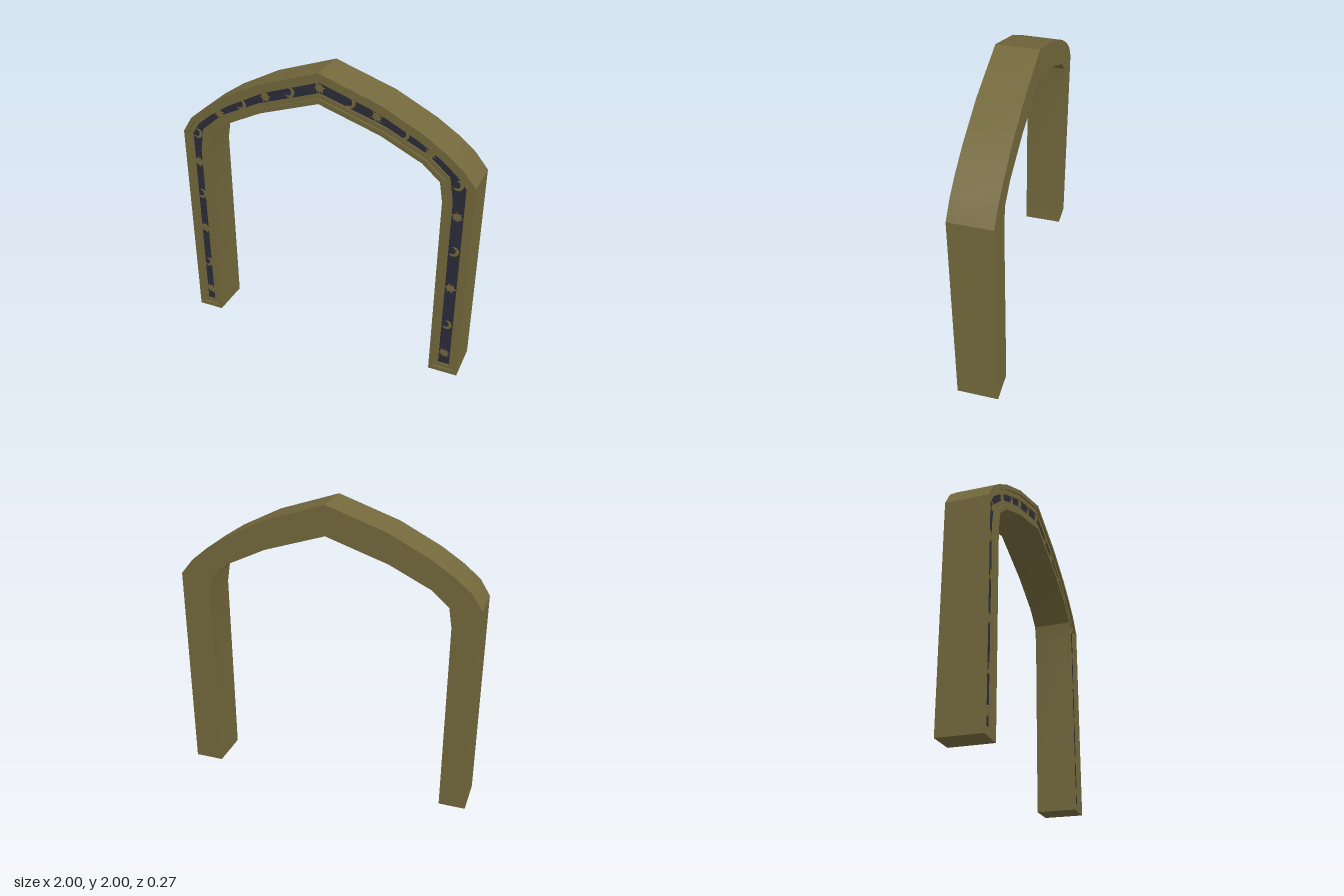
import * as THREE from 'three';
import { toCreasedNormals } from 'three/addons/utils/BufferGeometryUtils.js';

const HALF_DEPTH = 0.137, STEP = 0.012, BAND = 0.03, AXIS = -0.01;

// Half profiles of the arch, measured from its axis, springing to apex
const INNER = [[0.812, 1.31], [0.79, 1.44], [0.674, 1.54], [0.404, 1.67], [0, 1.803]];
const OUTER = [[0.925, 1.543], [0.815, 1.633], [0.67, 1.727], [0.402, 1.863], [0, 2]];

// Counter-clockwise outline of the whole arch
function archOutline() {
  const left = ([x, y]) => [AXIS - x, y];
  const right = ([x, y]) => [AXIS + x, y];
  return [
    [-1, 0], [AXIS - 0.812, 0], ...INNER.map(left),
    ...INNER.slice(0, -1).reverse().map(right), [AXIS + 0.812, 0],
    [1, 0], [1, 1.44], ...OUTER.map(right),
    ...OUTER.slice(0, -1).reverse().map(left), [-1, 1.44],
  ].map(([x, y]) => new THREE.Vector2(x, y));
}

// Mitred inset of a closed outline
function inset(points, d) {
  const n = points.length;
  return points.map((p, i) => {
    const a = p.clone().sub(points[(i + n - 1) % n]).normalize();
    const b = points[(i + 1) % n].clone().sub(p).normalize();
    const na = new THREE.Vector2(-a.y, a.x), nb = new THREE.Vector2(-b.y, b.x);
    const m = na.clone().add(nb);
    return p.clone().addScaledVector(m, d / (1 + na.dot(nb)));
  });
}

function slab(shape, z0, z1) {
  const geometry = new THREE.ExtrudeGeometry(shape, { depth: z1 - z0, bevelEnabled: false });
  geometry.translate(0, 0, z0);
  return toCreasedNormals(geometry, 0.5);
}

// Sunburst with alternating long and short rays
function starShape() {
  const points = [];
  for (let i = 0; i < 24; i++) {
    const r = i % 2 ? 0.019 : i % 4 ? 0.031 : 0.039;
    const a = (i / 24) * Math.PI * 2 + 0.1;
    points.push(new THREE.Vector2(r * Math.cos(a), r * Math.sin(a)));
  }
  return new THREE.Shape(points);
}

// Crescent bulging to the right, horns to the left
function moonShape() {
  const points = [], R = 0.033, horn = 2.25;
  const hx = R * Math.cos(horn), hy = R * Math.sin(horn);
  const cx = -0.014, r = Math.hypot(hx - cx, hy), end = Math.atan2(hy, hx - cx);
  for (let i = 0; i <= 14; i++) {
    const a = -horn + (2 * horn * i) / 14;
    points.push(new THREE.Vector2(R * Math.cos(a), R * Math.sin(a)));
  }
  for (let i = 1; i < 12; i++) {
    const a = end - (2 * end * i) / 12;
    points.push(new THREE.Vector2(cx + r * Math.cos(a), r * Math.sin(a)));
  }
  return new THREE.Shape(points);
}

export function createModel() {
  const group = new THREE.Group();
  const gold = new THREE.MeshStandardMaterial({ color: 0x73683c });
  gold.name = 'antique gold';
  const navy = new THREE.MeshStandardMaterial({ color: 0x2c2c39 });
  navy.name = 'dark navy';

  const add = (name, geometry, material) => {
    const mesh = new THREE.Mesh(geometry, material);
    mesh.name = name;
    group.add(mesh);
    return mesh;
  };

  const outline = archOutline();
  const floor = HALF_DEPTH - 2 * STEP;
  add('archBody', slab(new THREE.Shape(outline), -HALF_DEPTH, floor), gold);

  // Two stepped mouldings around the recessed panel
  ['outerMoulding', 'innerMoulding'].forEach((name, i) => {
    const ring = new THREE.Shape(inset(outline, i * BAND));
    ring.holes.push(new THREE.Path(inset(outline, (i + 1) * BAND)));
    add(name, slab(ring, floor, HALF_DEPTH - i * STEP), gold);
  });

  const panelTop = floor + 0.003;
  add('panel', slab(new THREE.Shape(inset(outline, 2 * BAND)), floor, panelTop), navy);

  // Stars and moons alternate along the panel
  const star = slab(starShape(), panelTop, panelTop + 0.006);
  const moon = slab(moonShape(), panelTop, panelTop + 0.006);
  const ornaments = [
    [0.902, 0.15], [0.902, 0.39], [0.902, 0.685], [0.902, 0.965], [0.902, 1.215],
    [0.892, 1.43], [0.715, 1.605], [0.547, 1.695], [0.372, 1.78], [0.202, 1.837],
  ];
  for (const side of [-1, 1]) {
    ornaments.forEach(([x, y], i) => {
      const isMoon = i % 2 === 1;
      const mesh = add(isMoon ? 'moon' : 'star', isMoon ? moon : star, gold);
      mesh.position.set(AXIS + side * x + (side > 0 && i < 6 ? 0.006 : 0), y, 0);
      mesh.rotation.z = isMoon ? -0.35 : i * 0.4;
    });
  }
  add('apexStar', star, gold).position.set(AXIS, 1.9, 0);

  return group;
}
